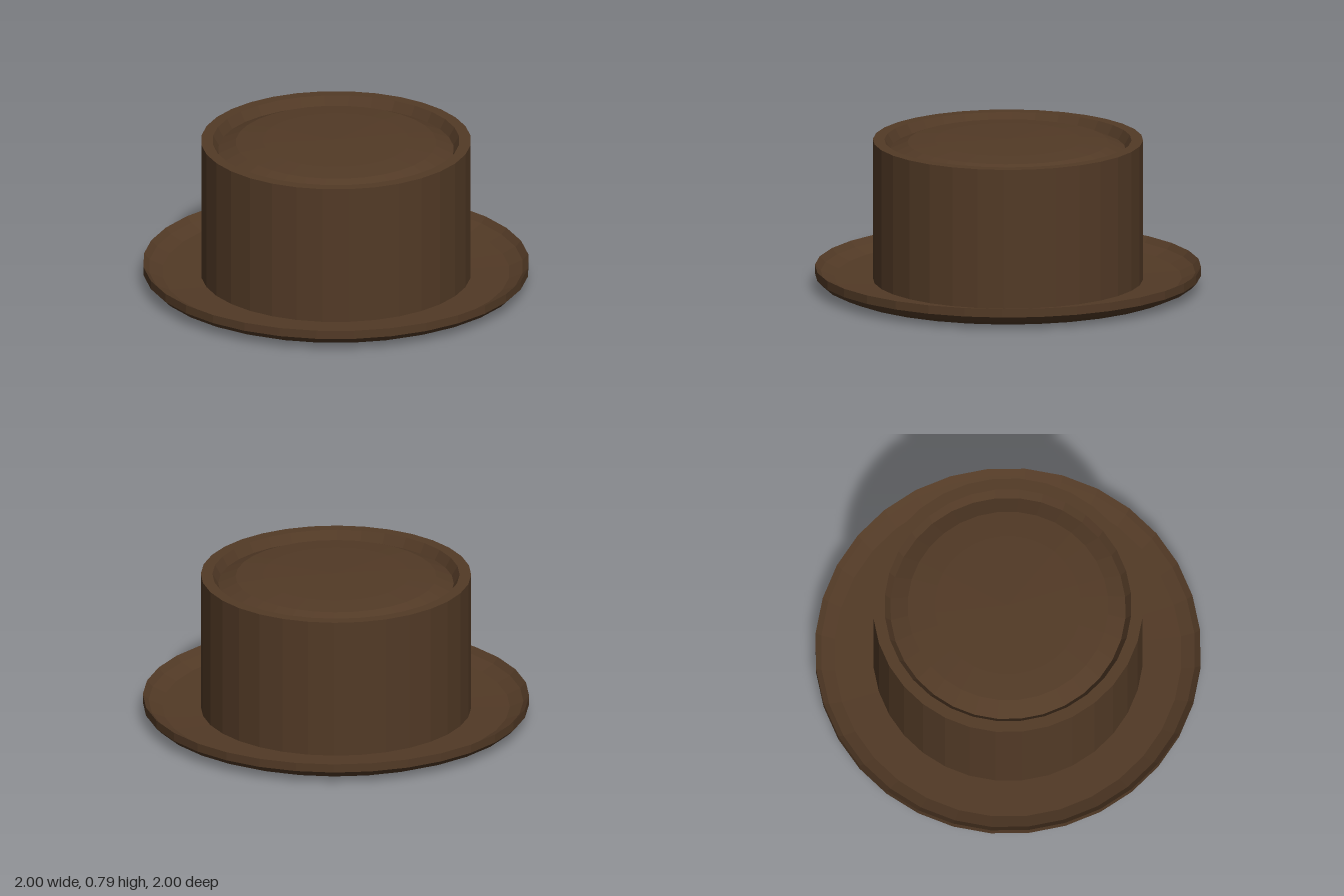
import * as THREE from 'three';

const SIDES = 32;

export function createModel() {
  const hat = new THREE.Group();
  hat.name = 'hat';

  const felt = new THREE.MeshStandardMaterial({
    color: 0x523a26,
    flatShading: true,
    side: THREE.DoubleSide,
  });

  // Revolve a [radius, height] profile around the vertical axis
  const addLathe = (name, profile) => {
    const points = profile.map(([r, y]) => new THREE.Vector2(r, y));
    const mesh = new THREE.Mesh(new THREE.LatheGeometry(points, SIDES), felt);
    mesh.name = name;
    hat.add(mesh);
  };

  // Brim: thick ring whose outer edge curls upward
  addLathe('brim', [
    [0.7, 0], [0.9, 0.01], [0.97, 0.04], [1, 0.07],
    [1, 0.115], [0.97, 0.085], [0.9, 0.055], [0.7, 0.048],
  ]);

  // Crown wall: open at the bottom, with a flat rim on top
  addLathe('crown', [[0.7, 0], [0.7, 0.785], [0.64, 0.785]]);

  // Crown top: crease inside the rim, then a low dome
  addLathe('crownTop', [
    [0.64, 0.785], [0.61, 0.735], [0.52, 0.774], [0.38, 0.786], [0, 0.79],
  ]);

  return hat;
}
